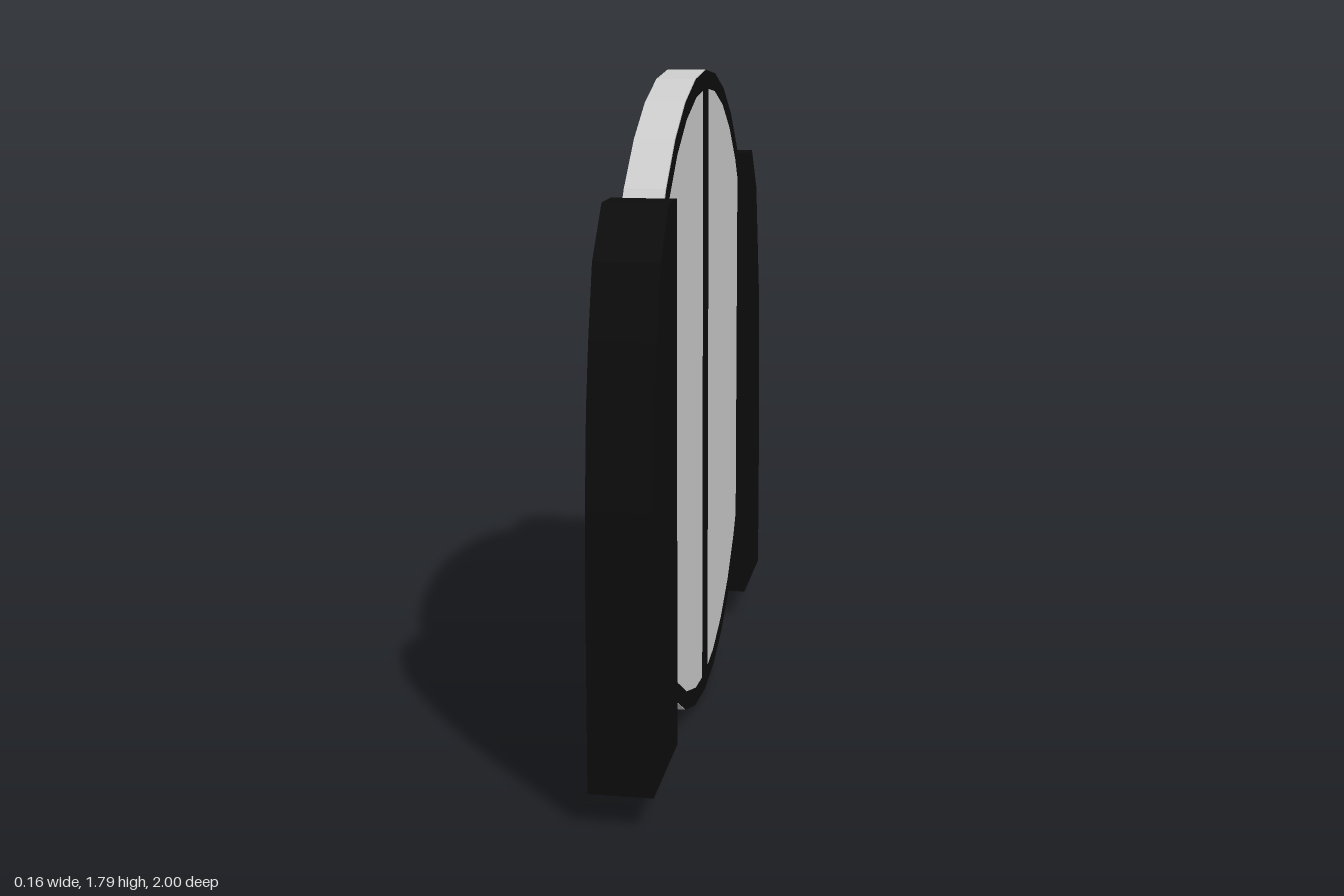
import * as THREE from 'three';

const black = new THREE.MeshStandardMaterial({ color: 0x0c0c0c, flatShading: true });
const grey = new THREE.MeshStandardMaterial({ color: 0xcccccc, flatShading: true });

const RADIUS = 0.895, RIM = 0.05, HALF = 0.052, SEGMENTS = 32;
const CENTRE = [0, RADIUS, 0.012];

function part(name, geometry, material) {
  const mesh = new THREE.Mesh(geometry, material);
  mesh.name = name;
  return mesh;
}

// Slab cut from a (z, y) outline, centred on x = 0
function slab(name, outline, halfWidth) {
  const shape = new THREE.Shape(outline.map(([z, y]) => new THREE.Vector2(z, y)));
  const geometry = new THREE.ExtrudeGeometry(shape, { depth: halfWidth * 2, bevelEnabled: false });
  geometry.translate(0, 0, -halfWidth).rotateY(-Math.PI / 2);
  return part(name, geometry, black);
}

export function createModel() {
  const model = new THREE.Group();
  model.name = 'roundPanelWithSideGrips';

  // Upright disc with a black rim and centre bar on its +x face
  const disc = new THREE.Group();
  disc.name = 'disc';
  disc.position.set(...CENTRE);
  disc.add(part('panel',
    new THREE.CylinderGeometry(RADIUS, RADIUS, HALF * 2, SEGMENTS).rotateZ(-Math.PI / 2), grey));

  const rim = part('rim',
    new THREE.RingGeometry(RADIUS - RIM, RADIUS, SEGMENTS).rotateY(Math.PI / 2), black);
  rim.position.x = HALF + 0.002;
  disc.add(rim);

  const bar = part('centreBar',
    new THREE.PlaneGeometry(0.1, (RADIUS - RIM / 2) * 2).rotateY(Math.PI / 2), black);
  bar.position.set(HALF + 0.003, 0, 0.003);
  disc.add(bar);
  model.add(disc);

  // Front and back grips, each with its own curved outer edge
  model.add(slab('frontGrip', [
    [0.655, 0.09], [1, 0.09], [1, 0.6], [0.993, 0.8], [0.97, 1.04],
    [0.937, 1.2], [0.885, 1.38], [0.77, 1.507], [0.655, 1.507],
  ], 0.082));
  model.add(slab('backGrip', [
    [-0.65, 0.09], [-0.65, 1.507], [-0.765, 1.507], [-0.88, 1.38],
    [-0.965, 1.04], [-1, 0.58], [-1, 0.09],
  ], 0.082));

  return model;
}
